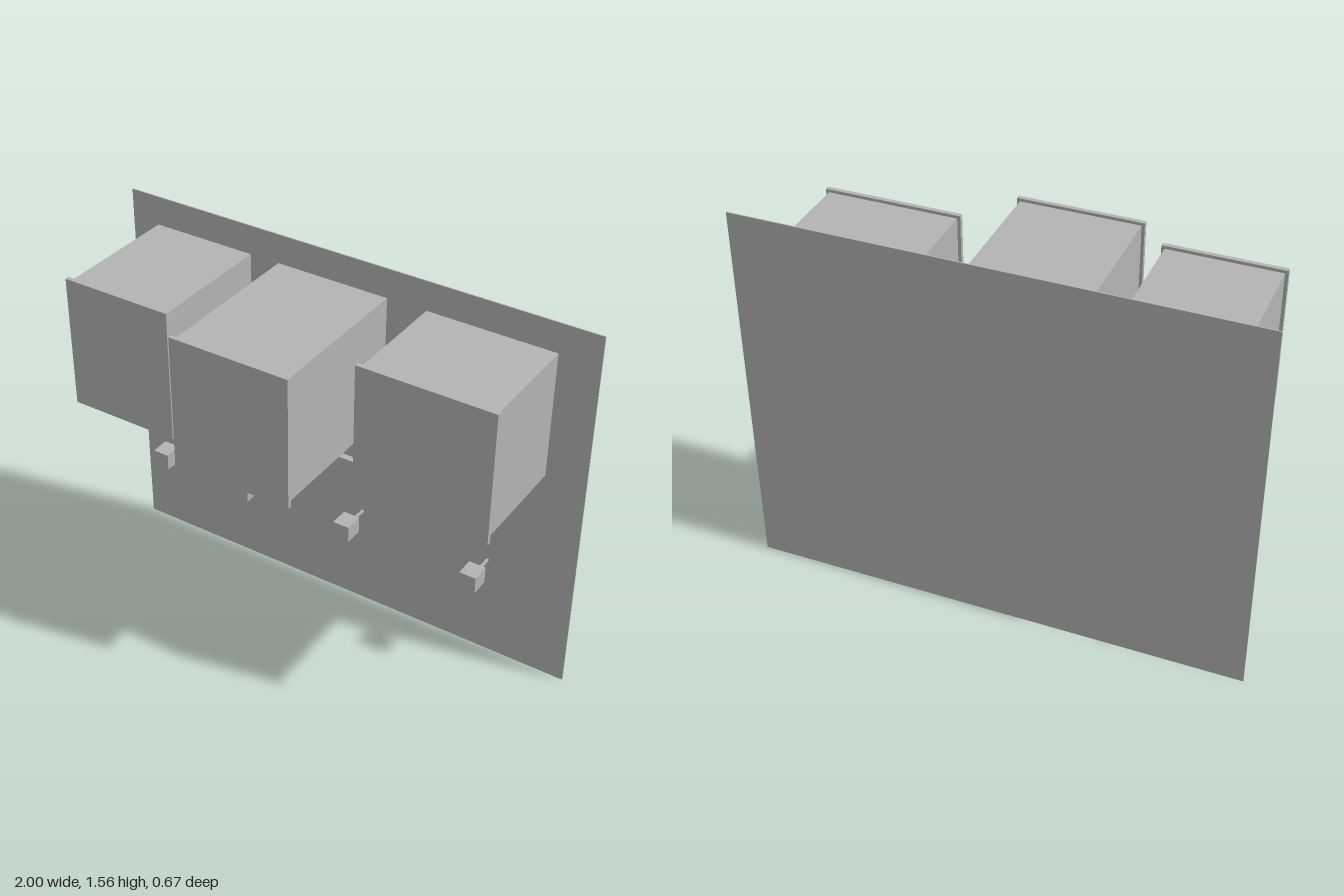
import * as THREE from 'three';

export function createModel() {
  const model = new THREE.Group();
  const grey = new THREE.MeshStandardMaterial({ color: 0xb4b4b4 });
  grey.name = 'plain grey';

  // Adds a box given its extents along each axis
  function block(parent, name, [x0, x1], [y0, y1], [z0, z1]) {
    const mesh = new THREE.Mesh(new THREE.BoxGeometry(x1 - x0, y1 - y0, z1 - z0), grey);
    mesh.position.set((x0 + x1) / 2, (y0 + y1) / 2, (z0 + z1) / 2);
    mesh.name = name;
    parent.add(mesh);
  }

  const wallFront = -0.33;
  block(model, 'wallPanel', [-1, 1], [0, 1.56], [-0.335, wallFront]);

  // Wall cabinets: body, overlapping door and slats beneath; the slats stop short of the door
  const slatRows = [[0.157, 0.244], [0.035, 0.126], [-0.085, 0.006], [-0.205, -0.114]];
  for (const [x0, x1, front] of [[-0.893, -0.433, 0.214], [-0.331, 0.166, 0.335], [0.305, 0.85, 0.133]]) {
    const cabinet = new THREE.Group();
    cabinet.name = 'cabinet';
    model.add(cabinet);
    const doorBack = front - 0.018;
    block(cabinet, 'cabinetBody', [x0 + 0.012, x1 - 0.012], [0.923, 1.44], [wallFront, doorBack]);
    block(cabinet, 'cabinetDoor', [x0, x1], [0.911, 1.452], [doorBack, front]);
    const width = [x0 + 0.051, x1 - 0.051];
    for (const row of slatRows) {
      if (row[1] < doorBack - 0.06) block(cabinet, 'slat', width, [0.904, 0.909], row);
    }
    block(cabinet, 'rearSlat', width, [0.9, 0.905], [wallFront, -0.22]);
  }

  // Shallow boxes on the wall
  for (const x of [-0.503, 0.017, 0.538]) {
    block(model, 'wallBox', [x - 0.058, x + 0.058], [0.603, 0.684], [wallFront, -0.302]);
  }

  // Small cubes held off the wall on thin stems
  for (const x of [-0.805, -0.403, 0.077, 0.639]) {
    const knob = new THREE.Group();
    knob.name = 'knob';
    model.add(knob);
    block(knob, 'knobCube', [x - 0.035, x + 0.035], [0.406, 0.477], [-0.244, -0.165]);
    block(knob, 'knobStem', [x - 0.005, x + 0.005], [0.436, 0.446], [wallFront, -0.244]);
  }
  return model;
}
